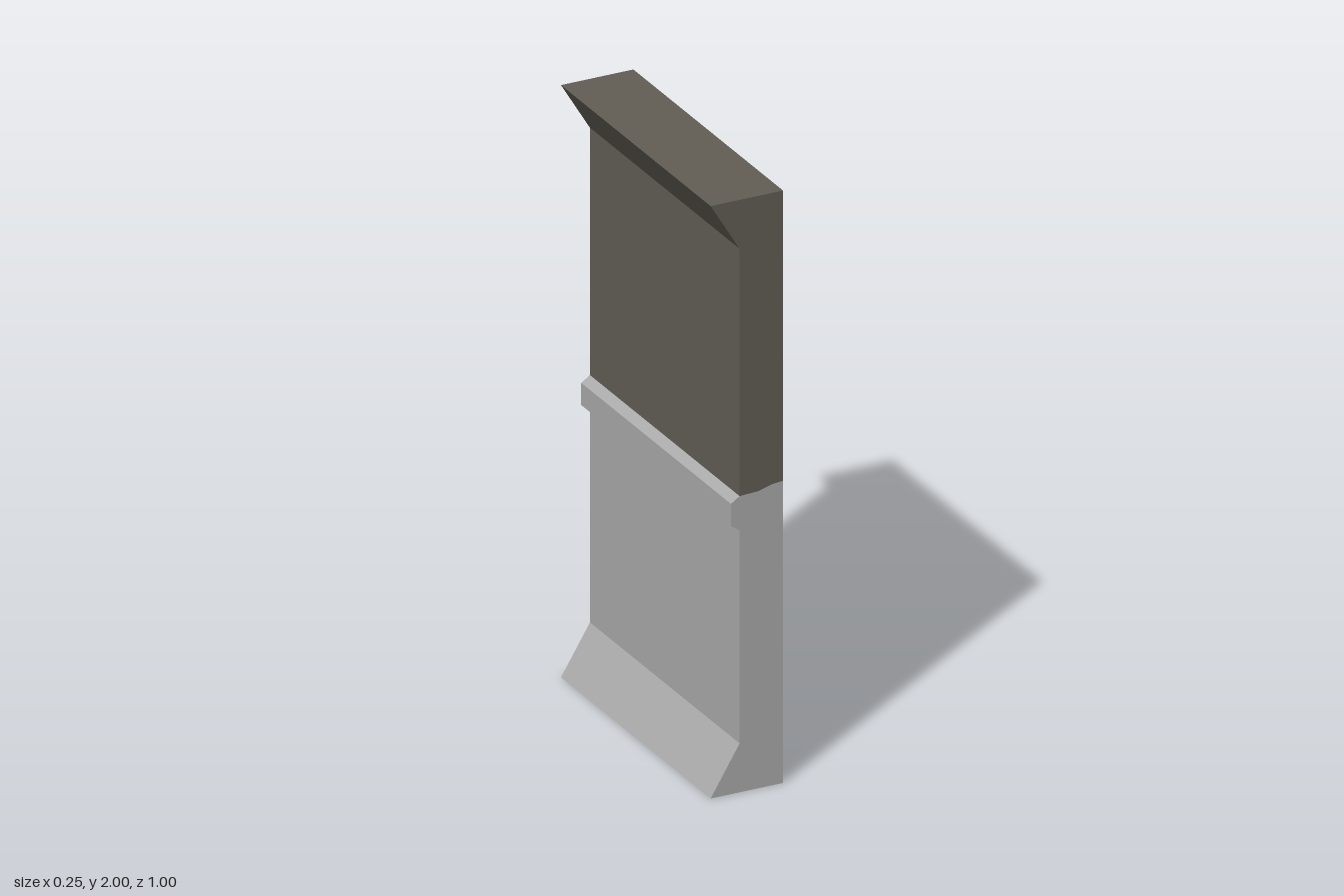
import * as THREE from 'three';
import { mergeGeometries } from 'three/addons/utils/BufferGeometryUtils.js';

const DEPTH = 0.5; // half length along z

// Flat polygon facing +z
function polygon(points) {
  const g = new THREE.ShapeGeometry(new THREE.Shape(points.map(p => new THREE.Vector2(...p)))).toNonIndexed();
  g.deleteAttribute('uv');
  return g;
}

// Open profile (counterclockwise seen from +z) swept along z
function sweep(path) {
  const pos = [];
  for (let i = 0; i < path.length - 1; i++) {
    const [ax, ay] = path[i], [bx, by] = path[i + 1];
    pos.push(ax, ay, DEPTH, ax, ay, -DEPTH, bx, by, -DEPTH);
    pos.push(ax, ay, DEPTH, bx, by, -DEPTH, bx, by, DEPTH);
  }
  const g = new THREE.BufferGeometry();
  g.setAttribute('position', new THREE.Float32BufferAttribute(pos, 3));
  g.computeVertexNormals();
  return g;
}

// One half of the wall: moulded side, both ends and the flat side
function wallHalf(name, path, frontSeam, backSeam, flatSide, material) {
  const front = polygon([...path, ...frontSeam]).translate(0, 0, DEPTH);
  const back = polygon([...path, ...backSeam].map(([x, y]) => [-x, y])).rotateY(Math.PI).translate(0, 0, -DEPTH);
  const flat = polygon(flatSide).rotateY(Math.PI / 2).translate(0.125, 0, 0);
  const mesh = new THREE.Mesh(mergeGeometries([sweep(path), front, back, flat]), material);
  mesh.name = name;
  return mesh;
}

export function createModel() {
  const group = new THREE.Group();
  group.name = 'wallPanel';
  const darkPlaster = new THREE.MeshStandardMaterial({ color: 0x625e55 });
  darkPlaster.name = 'dark plaster';
  const lightStone = new THREE.MeshStandardMaterial({ color: 0xaaaaaa });
  lightStone.name = 'light stone';

  // Ragged paint line, listed from the flat side to the moulded side
  const frontSeam = [[0.125, 1.02], [0.09, 1.017], [0.04, 1.003]];
  const backSeam = [[0.125, 1.03], [0.085, 0.963], [0.04, 0.975]];
  const flatSeam = [[-0.5, 1.02], [0.155, 1.02], [0.18, 1.03], [0.5, 1.03]];

  // Upper half with flared cornice
  const upperPath = [[0.125, 2], [-0.125, 2], [-0.025, 1.835], [-0.025, 1]];
  // Lower half with dado rail and flared skirting
  const lowerPath = [[-0.025, 1], [-0.055, 0.98], [-0.055, 0.905], [-0.025, 0.885],
    [-0.025, 0.165], [-0.125, 0], [0.125, 0]];

  group.add(
    wallHalf('upperWall', upperPath, [...frontSeam].reverse(), [...backSeam].reverse(),
      [...flatSeam, [0.5, 2], [-0.5, 2]], darkPlaster),
    wallHalf('lowerWall', lowerPath, frontSeam, backSeam,
      [[0.5, 0], [-0.5, 0], ...flatSeam], lightStone),
  );
  return group;
}
